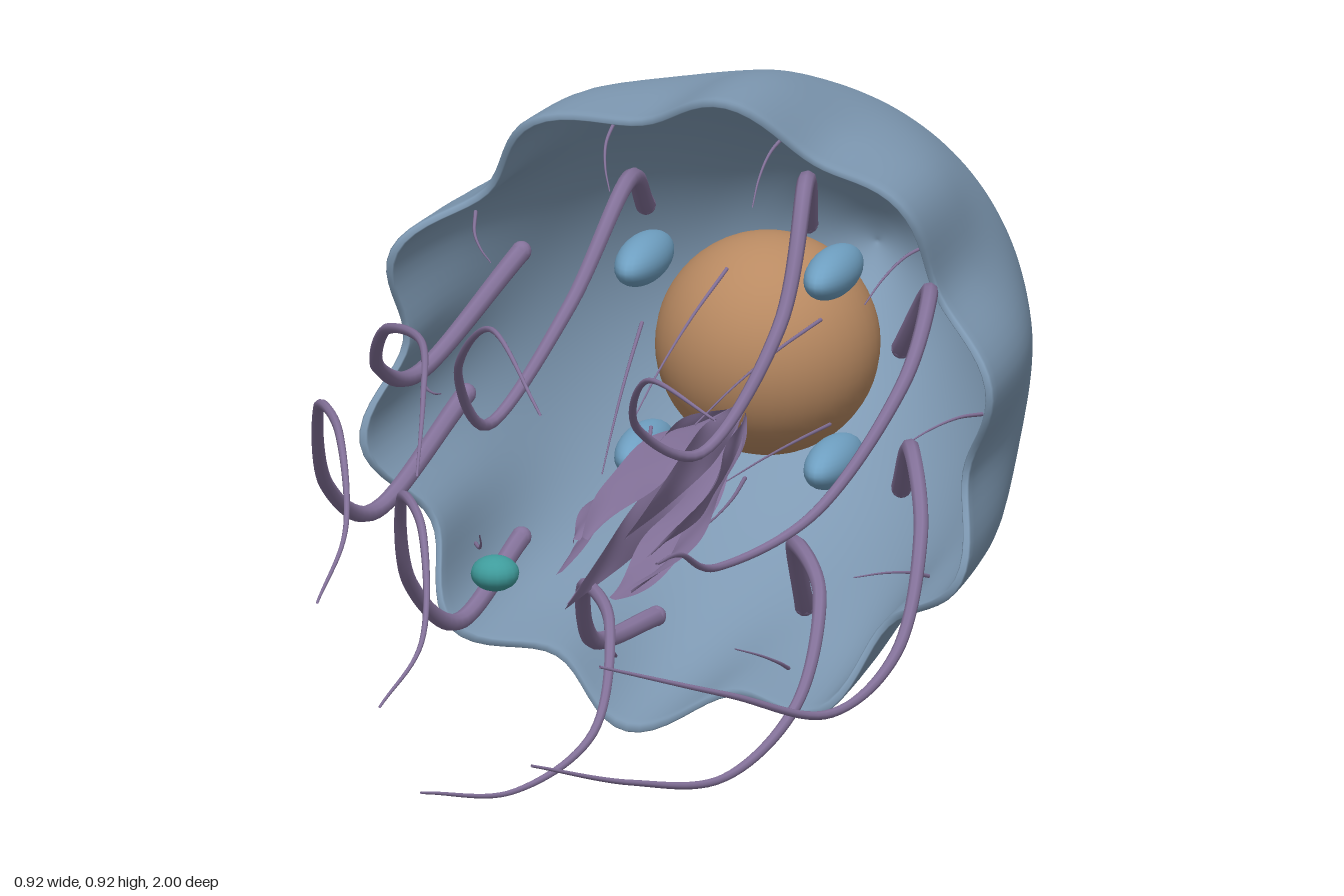
import * as THREE from 'three';
import { mergeVertices } from 'three/addons/utils/BufferGeometryUtils.js';

const CY = 0.463; // height of the body axis, which runs along z
const RAD = Math.PI / 180;
const mat = (color) => new THREE.MeshStandardMaterial({ color, side: THREE.DoubleSide });
const bellMat = mat(0x7f9ab4), armMat = mat(0x84729a), stomachMat = mat(0xb98a62);
const spotMat = mat(0x6fa0c2), beadMat = mat(0x3f9c9c);

function add(parent, name, geometry, material, x = 0, y = 0, z = 0) {
  const mesh = new THREE.Mesh(geometry, material);
  mesh.name = name;
  mesh.position.set(x, y, z);
  parent.add(mesh);
  return mesh;
}

// Round tube along smooth points, thinning from root to tip
function strand(parent, name, points, r0, r1, segments = 70, sides = 8) {
  const curve = new THREE.CatmullRomCurve3(points);
  const geo = new THREE.TubeGeometry(curve, segments, r0, sides);
  const pos = geo.attributes.position, v = new THREE.Vector3();
  for (let i = 0; i <= segments; i++) {
    const c = curve.getPointAt(i / segments);
    const k = 1 + (r1 / r0 - 1) * (i / segments);
    for (let j = 0; j <= sides; j++) {
      const n = i * (sides + 1) + j;
      v.fromBufferAttribute(pos, n).sub(c).multiplyScalar(k).add(c);
      pos.setXYZ(n, v.x, v.y, v.z);
    }
  }
  add(parent, name, geo, armMat);
  if (r0 > 0.01) add(parent, name + 'Root', new THREE.SphereGeometry(r0, 12, 8), armMat, ...points[0].toArray());
}

// Thin-walled bell: inner wall, rim and outer wall, with ten lobes at the edge
function bellGeometry() {
  const outer = new THREE.SplineCurve([
    [0.44, 0], [0.428, 0.2], [0.391, 0.4], [0.323, 0.6], [0.215, 0.8], [0.134, 0.9], [0.074, 0.96], [0.035, 0.988], [0, 1],
  ].map((p) => new THREE.Vector2(...p))).getPoints(48);
  outer[48].x = 0;
  const inner = outer.map((p) => new THREE.Vector2(Math.max(p.x - 0.012, 0), p.y * 0.985)).reverse();
  const geo = new THREE.LatheGeometry([...inner, new THREE.Vector2(0.43, -0.003), new THREE.Vector2(0.438, -0.003), ...outer], 160);
  geo.rotateX(-Math.PI / 2);
  const pos = geo.attributes.position;
  for (let i = 0; i < pos.count; i++) {
    const x = pos.getX(i), y = pos.getY(i), z = pos.getZ(i);
    const fade = THREE.MathUtils.smoothstep(z, -0.52, 0);
    const wave = Math.cos(10 * (Math.atan2(y, x) - 9 * RAD));
    const k = 1 + 0.055 * wave * fade;
    const edge = THREE.MathUtils.smoothstep(z, -0.25, 0);
    pos.setXYZ(i, x * k, y * k, z + edge * (0.003 + 0.025 * wave));
  }
  geo.deleteAttribute('uv');
  geo.deleteAttribute('normal');
  const merged = mergeVertices(geo, 1e-5);
  merged.computeVertexNormals();
  return merged;
}

// Leaf-shaped ribbon running forward and slightly down from the stomach
function oralArmGeometry(angle, length, phase) {
  const geo = new THREE.PlaneGeometry(1, 1, 6, 36);
  const pos = geo.attributes.position;
  const ca = Math.cos(angle), sa = Math.sin(angle);
  for (let i = 0; i < pos.count; i++) {
    const s = pos.getX(i) * 2, t = pos.getY(i) + 0.5;
    const width = 0.005 + 0.032 * Math.sin(Math.PI * t);
    const out = 0.015 + 0.055 * Math.sin(Math.PI * t * 0.7) + 0.006 * s * s * Math.sin(12 * t + phase);
    const twist = 0.5 * Math.sin(phase) + 0.9 * t;
    const side = s * width * Math.cos(twist), up = out + s * width * Math.sin(twist);
    pos.setXYZ(i, ca * up - sa * side, 0.39 - 0.05 * t + 0.85 * (sa * up + ca * side), -0.27 + t * length);
  }
  geo.computeVertexNormals();
  return geo;
}

export function createModel() {
  const model = new THREE.Group();
  model.name = 'jellyfish';

  add(model, 'bell', bellGeometry(), bellMat, 0, CY, 0);
  add(model, 'stomach', new THREE.SphereGeometry(0.157, 40, 28), stomachMat, 0, 0.455, -0.43);

  // Four long pale organs around the stomach
  for (const x of [-0.137, 0.137]) for (const y of [0.602, 0.33]) {
    add(model, 'organ', new THREE.SphereGeometry(0.034, 24, 16), spotMat, x, y, -0.285).scale.z = 2.8;
  }

  // Floating bead in front of the mouth
  add(model, 'bead', new THREE.SphereGeometry(0.034, 16, 12), beadMat, 0, 0.465, 0.94).scale.y = 0.74;

  // Nine curling tentacles: tip depth, then x, y at even steps forward
  const tentacles = new THREE.Group();
  tentacles.name = 'tentacles';
  model.add(tentacles);
  [
    [0.99, -0.07, 0.74, -0.045, 0.82, -0.08, 0.68, -0.145, 0.55, -0.14, 0.67, -0.04, 0.78, 0.08, 0.71],
    [0.84, 0.165, 0.73, 0.205, 0.83, 0.21, 0.66, 0.14, 0.51, 0.09, 0.58, 0.15, 0.69, 0.29, 0.68],
    [0.96, 0.3, 0.56, 0.39, 0.69, 0.4, 0.6, 0.32, 0.45, 0.23, 0.41, 0.225, 0.47, 0.24, 0.5],
    [0.9, 0.3, 0.36, 0.36, 0.46, 0.42, 0.38, 0.43, 0.25, 0.38, 0.2, 0.28, 0.26, 0.14, 0.33],
    [0.86, 0.16, 0.18, 0.19, 0.31, 0.27, 0.28, 0.28, 0.16, 0.22, 0.09, 0.13, 0.115, 0.03, 0.17],
    [0.86, -0.055, 0.15, -0.1, 0.15, -0.07, 0.27, 0.01, 0.26, 0.03, 0.14, -0.04, 0.09, -0.13, 0.12],
    [0.79, -0.25, 0.25, -0.3, 0.16, -0.33, 0.25, -0.3, 0.41, -0.23, 0.4, -0.19, 0.28, -0.21, 0.22],
    [1.0, -0.33, 0.45, -0.41, 0.32, -0.43, 0.4, -0.39, 0.56, -0.31, 0.57, -0.25, 0.48, -0.24, 0.42],
    [0.95, -0.25, 0.66, -0.35, 0.52, -0.36, 0.57, -0.3, 0.67, -0.2, 0.7, -0.15, 0.66, -0.11, 0.6],
  ].forEach(([tip, ...xy]) => {
    const points = [];
    for (let i = 0; i < 7; i++) {
      points.push(new THREE.Vector3(xy[2 * i], xy[2 * i + 1], -0.06 + (tip + 0.06) * i / 6));
    }
    strand(tentacles, 'tentacle', points, 0.0145, 0.002);
  });

  // Leafy oral arms in a bundle
  const arms = new THREE.Group();
  arms.name = 'oralArms';
  model.add(arms);
  for (let i = 0; i < 8; i++) {
    add(arms, 'oralArm', oralArmGeometry(i * 45 * RAD + 0.2, 0.63 + 0.1 * ((i * 3) % 8) / 7, i * 1.7), armMat);
  }

  // Fine filaments around the mouth
  for (let i = 0; i < 6; i++) {
    const points = [];
    for (let j = 0; j < 4; j++) {
      const b = (i * 60 + 35) * RAD + 0.15 * j, r = 0.15 - 0.02 * j;
      points.push(new THREE.Vector3(r * Math.cos(b), 0.45 - 0.02 * j + r * Math.sin(b), -0.27 + 0.12 * j));
    }
    strand(model, 'mouthFilament', points, 0.003, 0.001, 30, 6);
  }

  // Short hairs between the lobes
  for (let i = 0; i < 10; i++) {
    const a = i * 36 * RAD;
    const at = (r, b, z) => new THREE.Vector3(r * Math.cos(b), CY + r * Math.sin(b), z);
    strand(model, 'rimHair', [at(0.405, a, -0.1), at(0.385, a + 0.015, -0.05), at(0.36, a, 0), at(0.335, a - 0.04, 0.05)], 0.003, 0.001, 16, 6);
  }
  return model;
}
